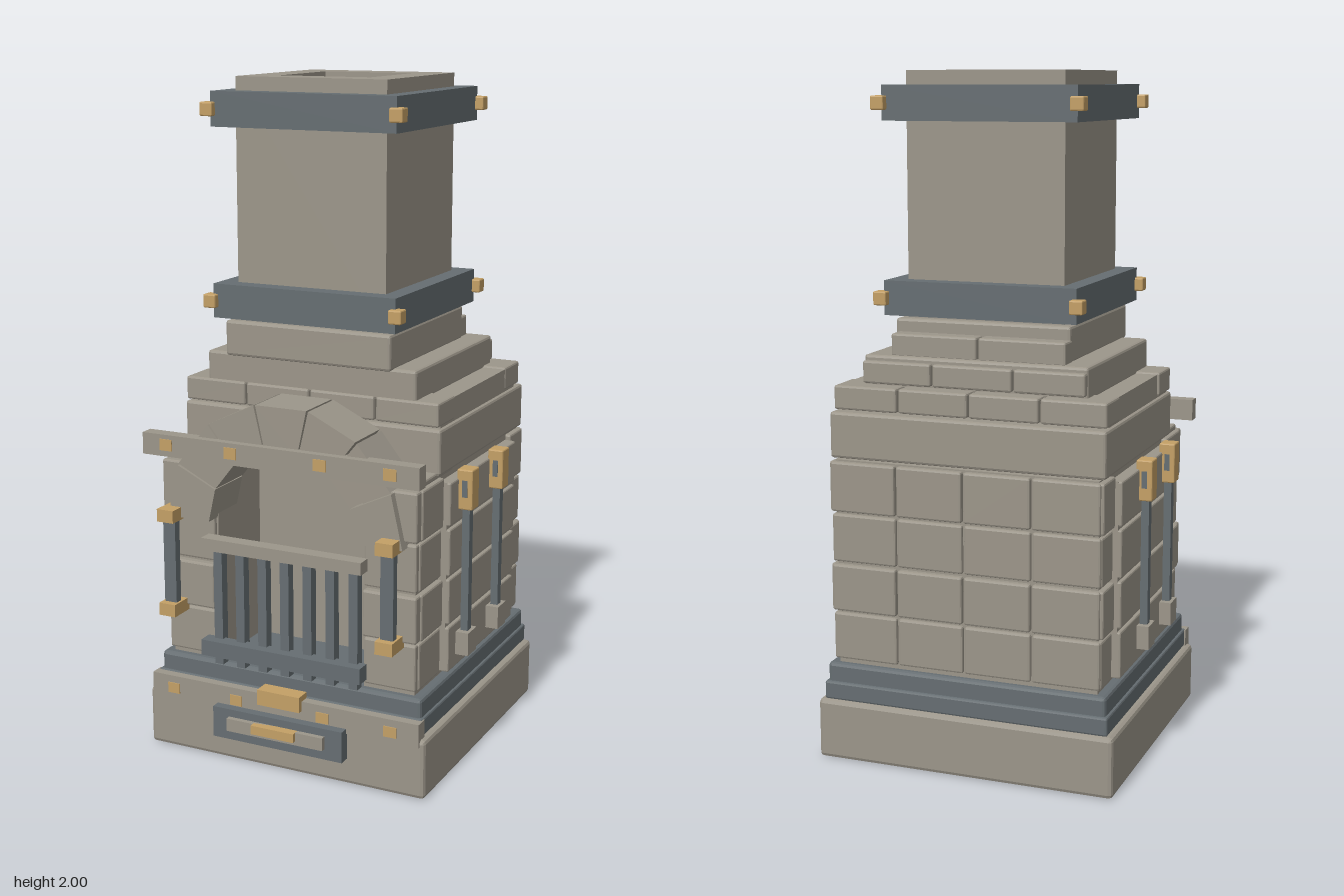
import * as THREE from 'three';
import { RoundedBoxGeometry } from 'three/addons/geometries/RoundedBoxGeometry.js';

export function createModel() {
  const root = new THREE.Group();
  root.name = 'stoneFurnace';
  const makeMaterial = (name, color) => {
    const m = new THREE.MeshStandardMaterial({ color });
    m.name = name;
    return m;
  };
  const stone = makeMaterial('stone', 0x9c968a);
  const iron = makeMaterial('iron', 0x666e72);
  const brass = makeMaterial('brass', 0xc4a066);

  const add = (name, geometry, material) => {
    const mesh = new THREE.Mesh(geometry, material);
    mesh.name = name;
    root.add(mesh);
    return mesh;
  };
  // Box given by its limits, with an optional chamfer on all edges
  const block = (name, material, x0, x1, y0, y1, z0, z1, chamfer = 0) => {
    const size = [x1 - x0, y1 - y0, z1 - z0];
    let geometry;
    if (chamfer) {
      geometry = new RoundedBoxGeometry(...size, 1, chamfer);
      geometry.computeVertexNormals();
    } else geometry = new THREE.BoxGeometry(...size);
    const mesh = add(name, geometry, material);
    mesh.position.set((x0 + x1) / 2, (y0 + y1) / 2, (z0 + z1) / 2);
    return mesh;
  };
  // Row of stones between the given joints along x
  const stoneRow = (name, joints, y0, y1, z0, z1) => {
    for (let i = 0; i < joints.length - 1; i++)
      block(name, stone, joints[i] + 0.003, joints[i + 1] - 0.003, y0, y1, z0, z1, 0.006);
  };
  // Square tube standing upright, half widths outside and inside
  const squareTube = (name, material, outer, inner, y0, y1) => {
    const square = (P, h) => new P([[-h, -h], [h, -h], [h, h], [-h, h]].map(p => new THREE.Vector2(...p)));
    const shape = square(THREE.Shape, outer);
    shape.holes.push(square(THREE.Path, inner));
    const geometry = new THREE.ExtrudeGeometry(shape, { depth: y1 - y0, bevelEnabled: false });
    geometry.rotateX(-Math.PI / 2);
    add(name, geometry, material).position.set(-0.005, y0, -0.03);
  };

  // Base and iron plinth
  block('base', stone, -0.457, 0.45, 0, 0.18, -0.467, 0.405, 0.012);
  block('plinth', iron, -0.43, 0.425, 0.18, 0.29, -0.448, 0.375, 0.01);
  block('plinthSkirt', iron, -0.438, 0.432, 0.18, 0.235, -0.458, 0.385, 0.006);

  // Wall core around the hearth
  block('rearCore', stone, -0.4, 0.395, 0.28, 0.9, -0.428, 0.1);
  for (const s of [-1, 1]) {
    const [a, b] = s < 0 ? [-0.4, -0.24] : [0.235, 0.395];
    block('jambCore', stone, a, b, 0.28, 0.905, 0.1, 0.35);
  }

  // Stone courses: back tiles, side tiles, raised side panels and front jambs
  const courses = [0.3, 0.448, 0.595, 0.745, 0.9];
  for (let r = 0; r < 4; r++) {
    const y0 = courses[r] + 0.004, y1 = courses[r + 1] - 0.004;
    const d = r % 2 ? 0 : 0.006;
    for (let c = 0; c < 4; c++) {
      const x = -0.412 + c * 0.205;
      block('backStone', stone, x + 0.003, x + 0.202, y0, y1, -0.447 + d, -0.4, 0.006);
    }
    for (const s of [-1, 1]) {
      const side = (name, inner, outer, z0, z1) => {
        const a = s * inner - 0.003, b = s * outer - 0.003;
        block(name, stone, Math.min(a, b), Math.max(a, b), y0, y1, z0, z1, 0.006);
      };
      side('sideStone', 0.37, 0.415 - d, -0.438 + d, -0.333);
      side('sideStone', 0.37, 0.415 - d, 0.193, 0.345);
      side('jambStone', 0.243, 0.41 - d, 0.3, 0.375 - d * 2);
    }
  }
  for (const s of [-1, 1]) {
    const a = s * 0.38 - 0.003, b = s * 0.422 - 0.003;
    block('sidePanelBack', stone, Math.min(a, b), Math.max(a, b), 0.31, 0.88, -0.33, 0.19);
    for (let r = 0; r < 4; r++) {
      const c = s * 0.4 - 0.003, e = s * 0.433 - 0.003;
      block('sidePanelStone', stone, Math.min(c, e), Math.max(c, e),
        courses[r] + 0.006, Math.min(courses[r + 1] - 0.004, 0.88), -0.33, 0.19, 0.005);
    }
    const [p, q] = s < 0 ? [-0.405, -0.3] : [0.295, 0.4];
    block('shoulder', stone, p, q, 0.895, 0.915, 0.1, 0.345, 0.006);
  }

  // Stepped courses up to the chimney
  block('stepOne', stone, -0.42, 0.41, 0.905, 1.04, -0.435, 0.225, 0.008);
  block('stepTwo', stone, -0.41, 0.4, 1.03, 1.11, -0.38, 0.2);
  stoneRow('stepTwoBackStone', [-0.42, -0.222, -0.01, 0.205, 0.405], 1.045, 1.115, -0.42, -0.3);
  stoneRow('stepTwoFrontStone', [-0.42, -0.215, -0.005, 0.205, 0.405], 1.045, 1.115, 0.1, 0.222);
  block('stepThree', stone, -0.345, 0.33, 1.105, 1.2, -0.365, 0.215, 0.008);
  stoneRow('stepThreeBackStone', [-0.345, -0.13, 0.115, 0.33], 1.12, 1.185, -0.385, -0.3);
  block('stepFour', stone, -0.27, 0.26, 1.195, 1.3, -0.297, 0.238, 0.008);
  stoneRow('stepFourBackStone', [-0.275, -0.01, 0.257], 1.195, 1.262, -0.346, -0.28);

  // Hollow chimney with two bolted straps
  squareTube('chimney', stone, 0.237, 0.142, 1.295, 2);
  for (const y of [1.36, 1.91]) {
    squareTube('chimneyStrap', iron, 0.29, 0.23, y - 0.05, y + 0.05);
    for (const x of [-0.3, 0.29]) for (const z of [-0.325, 0.26])
      block('strapBolt', brass, x - 0.02, x + 0.02, y - 0.02, y + 0.02, z - 0.02, z + 0.02, 0.004);
  }

  // Arch of seven wedge stones
  const step = Math.PI / 7;
  for (let i = 0; i < 7; i++) {
    const a = i * step + 0.008, b = (i + 1) * step - 0.008;
    const points = [[0.24, a], [0.378, a], [0.378, b], [0.24, b]]
      .map(([r, t]) => new THREE.Vector2(r * Math.cos(t), r * Math.sin(t)));
    const geometry = new THREE.ExtrudeGeometry(new THREE.Shape(points), { depth: 0.16, bevelEnabled: false });
    add('archStone', geometry, stone).position.set(-0.003, 0.73, 0.24);
  }

  // Lintel and sill planks with brass studs
  block('lintel', stone, -0.447, 0.435, 0.92, 0.985, 0.382, 0.424);
  block('sill', stone, -0.442, 0.435, 0.16, 0.232, 0.37, 0.412);
  for (const x of [-0.368, -0.154, 0.132, 0.347]) {
    block('lintelStud', brass, x - 0.02, x + 0.02, 0.938, 0.972, 0.42, 0.427);
    block('sillStud', brass, x - 0.02, x + 0.02, 0.178, 0.21, 0.409, 0.415);
  }

  // Grate
  block('grateFoot', iron, -0.265, 0.255, 0.322, 0.37, 0.375, 0.42);
  block('grateRail', stone, -0.262, 0.255, 0.648, 0.685, 0.37, 0.415);
  for (let i = 0; i < 7; i++) {
    const x = -0.222 + i * 0.0735;
    block('grateBar', iron, x - 0.014, x + 0.014, 0.29, 0.655, 0.36, 0.39);
  }

  // Front posts with brass clamps
  for (const x of [-0.364, 0.34]) {
    block('frontPost', iron, x - 0.02, x + 0.02, 0.45, 0.75, 0.4, 0.425);
    for (const y of [0.455, 0.745])
      block('postClamp', brass, x - 0.027, x + 0.027, y - 0.019, y + 0.019, 0.365, 0.447);
  }

  // Ash drawer
  block('drawerPlate', iron, -0.217, 0.208, 0.08, 0.175, 0.4, 0.44);
  block('drawerPanel', stone, -0.163, 0.153, 0.113, 0.152, 0.43, 0.456);
  block('drawerHandle', brass, -0.075, 0.065, 0.125, 0.152, 0.44, 0.468);
  block('drawerLatch', brass, -0.073, 0.065, 0.203, 0.25, 0.38, 0.43);

  // Side rods with slotted brass hooks and stone feet
  for (const s of [-1, 1]) for (const z of [-0.137, 0.104]) {
    const part = (name, material, inner, outer, y0, y1, w, chamfer) => {
      const a = s * inner - 0.001, b = s * outer - 0.001;
      block(name, material, Math.min(a, b), Math.max(a, b), y0, y1, z - w, z + w, chamfer);
    };
    part('rodHook', brass, 0.425, 0.473, 0.787, 0.907, 0.027, 0.004);
    part('rodHookSlot', iron, 0.442, 0.458, 0.825, 0.875, 0.0285);
    part('rod', iron, 0.438, 0.461, 0.4, 0.8, 0.013);
    part('rodFoot', stone, 0.42, 0.471, 0.345, 0.415, 0.033);
  }
  return root;
}
